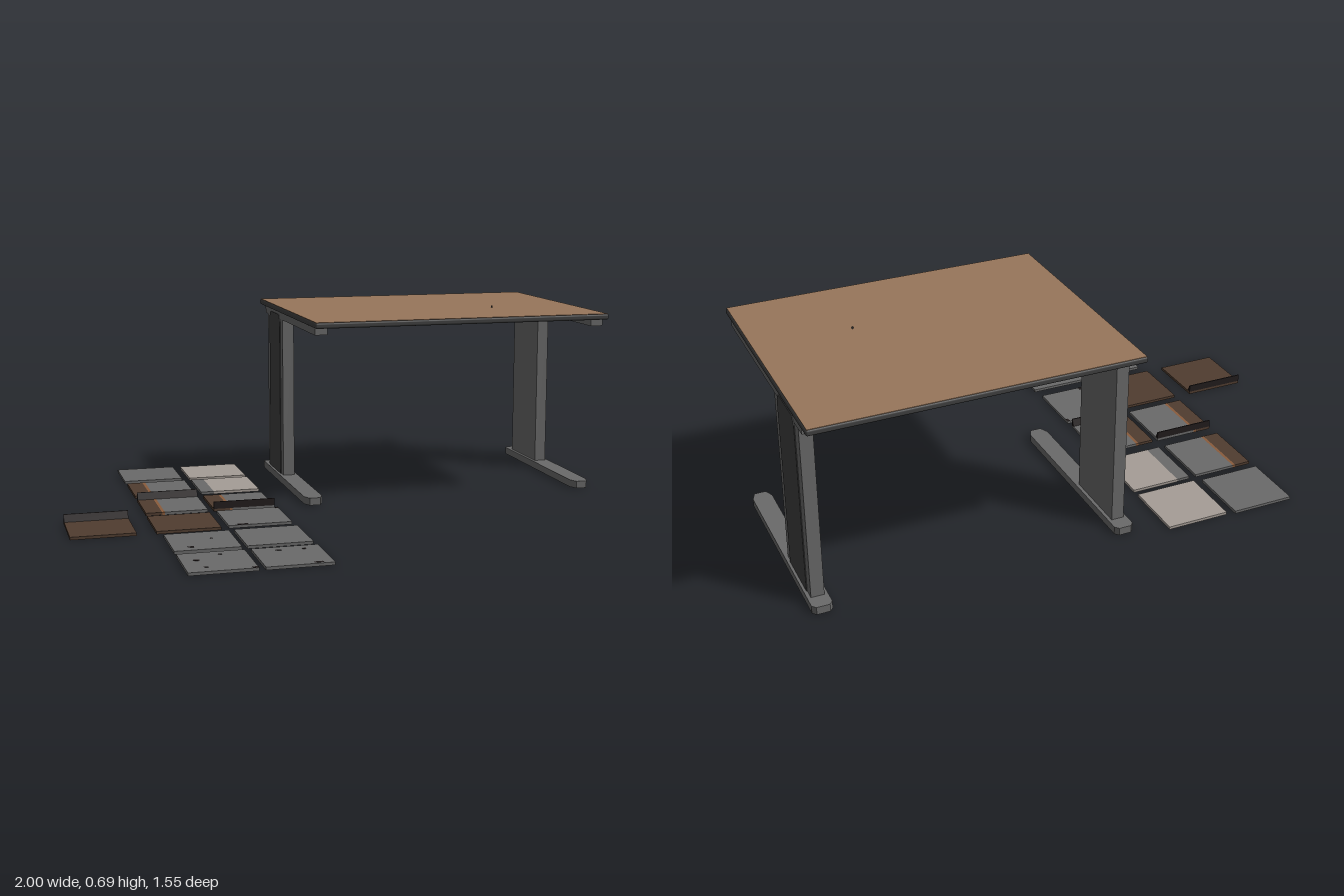
import * as THREE from 'three';
import { RoundedBoxGeometry } from 'three/addons/geometries/RoundedBoxGeometry.js';

const mat = (name, color) => {
  const m = new THREE.MeshStandardMaterial({ color });
  m.name = name;
  return m;
};

export function createModel() {
  const model = new THREE.Group();
  const steel = mat('steel grey', 0x6a6a6a);
  const charcoal = mat('charcoal', 0x404040);
  const wood = mat('desk wood', 0x98765b);
  const brown = mat('dark brown', 0x503d30);
  const trim = mat('orange trim', 0x8a5c3c);
  const pale = mat('pale beige', 0xa59d96);
  const black = mat('near black', 0x221c1c);

  const add = (parent, name, geometry, material) => {
    const mesh = new THREE.Mesh(geometry, material);
    mesh.name = name;
    parent.add(mesh);
    return mesh;
  };
  // Box given by its lower and upper limits
  const box = (parent, name, material, [x0, x1], [y0, y1], [z0, z1]) => {
    const mesh = add(parent, name, new THREE.BoxGeometry(x1 - x0, y1 - y0, z1 - z0), material);
    mesh.position.set((x0 + x1) / 2, (y0 + y1) / 2, (z0 + z1) / 2);
    return mesh;
  };
  const extrude = (points, depth) => new THREE.ExtrudeGeometry(
    new THREE.Shape(points.map(([x, y]) => new THREE.Vector2(x, y))), { depth, bevelEnabled: false });

  // Desk: rounded dark edge with a wooden face on top
  const desk = new THREE.Group();
  desk.name = 'desk';
  model.add(desk);
  const edge = add(desk, 'tabletopEdge', new RoundedBoxGeometry(1.114, 0.021, 0.892, 3, 0.007), charcoal);
  edge.position.set(0.434, 0.6715, -0.328);
  box(desk, 'tabletopSurface', wood, [-0.119, 0.987], [0.6785, 0.683], [-0.77, 0.114]);
  box(desk, 'tabletopPin', charcoal, [0.653, 0.658], [0.683, 0.69], [-0.208, -0.203]);

  // Legs: foot with chamfered ends, column, outer cover and top rail
  const footPlan = [[-0.034, 0.05], [-0.02, 0.018], [0.02, 0.018], [0.034, 0.05],
    [0.034, 0.712], [0.022, 0.726], [-0.022, 0.726], [-0.034, 0.712]];
  const coverOutline = [[0.458, 0.027], [0.632, 0.027], [0.632, 0.625],
    [0.615, 0.65], [0.475, 0.65], [0.458, 0.625]];
  for (const side of [-1, 1]) {
    const leg = new THREE.Group();
    leg.name = side < 0 ? 'rightLeg' : 'leftLeg';
    leg.position.x = side < 0 ? -0.091 : 0.962;
    desk.add(leg);
    add(leg, 'foot', extrude(footPlan, 0.027), steel).rotation.x = -Math.PI / 2;
    box(leg, 'column', steel, [-0.022, 0.022], [0.027, 0.662], [-0.67, -0.423]);
    box(leg, 'topRail', steel, [-0.023, 0.023], [0.634, 0.662], [-0.708, 0.074]);
    const cover = add(leg, 'columnCover', extrude(coverOutline, 0.004), charcoal);
    cover.rotation.y = Math.PI / 2;
    cover.position.x = side > 0 ? 0.021 : -0.025;
  }

  // Floor tiles: left edge, back edge, then [material, width] strips from left to right
  const S = 0.222, H = 0.01;
  const bordered = [[brown, 0.058], [trim, 0.01], [steel, S - 0.068]];
  const plain = (m) => [[m, S]];
  const tiles = [
    [-0.713, -0.774, plain(steel)], [-0.461, -0.766, plain(pale)],
    [-0.709, -0.515, bordered], [-0.461, -0.515, [[steel, 0.048], [pale, S - 0.048]]],
    [-0.709, -0.239, bordered, 'back'], [-0.465, -0.239, bordered, 'front'],
    [-1.0, 0.025, plain(brown), 'back'], [-0.711, 0.025, plain(brown)],
    [-0.461, 0.012, plain(steel)],
    [-0.695, 0.292, plain(steel)], [-0.455, 0.288, plain(steel)],
    [-0.695, 0.549, plain(steel)], [-0.452, 0.549, plain(steel)],
  ];
  // Skirting wedge, upright along the outer side of a tile
  const skirting = extrude([[0, H], [0.014, H], [0.004, 0.036], [0, 0.036]], S);
  tiles.forEach(([x, z, strips, skirtSide], i) => {
    const tile = new THREE.Group();
    tile.name = `floorTile${i + 1}`;
    model.add(tile);
    let left = x;
    for (const [material, width] of strips) {
      box(tile, 'tileStrip', material, [left, left + width], [0, H], [z, z + S]);
      left += width;
    }
    if (skirtSide) {
      const skirt = add(tile, 'skirting', skirting, black);
      const back = skirtSide === 'back';
      skirt.rotation.y = back ? -Math.PI / 2 : Math.PI / 2;
      skirt.position.set(back ? x + S : x, 0, back ? z : z + S);
    }
  });

  // Dark flecks on the grey tiles: centre x, centre z, width, depth
  const flecks = [[-0.41, 0.226, 0.036, 0.014], [-0.245, 0.022, 0.01, 0.016], [-0.634, 0.475, 0.02, 0.012],
    [-0.55, 0.384, 0.008, 0.008], [-0.482, 0.763, 0.018, 0.014], [-0.28, 0.757, 0.03, 0.012],
    [-0.645, 0.638, 0.02, 0.012], [-0.56, 0.586, 0.012, 0.008], [-0.37, 0.588, 0.018, 0.008],
    [-0.285, 0.59, 0.012, 0.01], [-0.63, 0.722, 0.014, 0.008]];
  for (const [x, z, w, d] of flecks) {
    box(model, 'tileFleck', black, [x - w / 2, x + w / 2], [H, H + 0.001], [z - d / 2, z + d / 2]);
  }
  return model;
}
